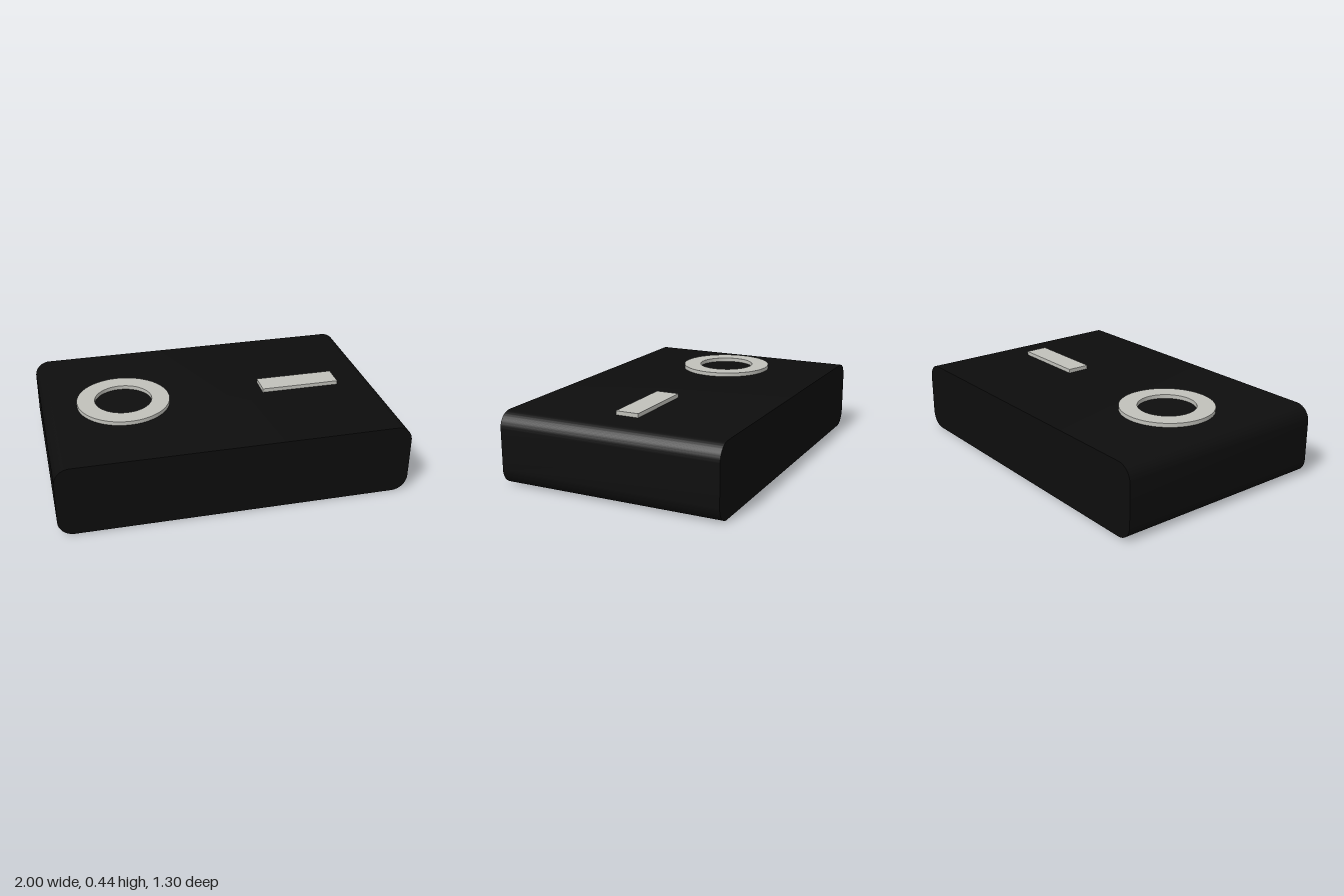
import * as THREE from 'three';
import { toCreasedNormals } from 'three/addons/utils/BufferGeometryUtils.js';

const W = 2, H = 0.414, D = 1.296, R = 0.09; // case size and corner radius
const TOP = 0.437;                          // top of the raised fittings

// Extrude a shape along z, keeping curved walls smooth and rims sharp
function extrude(shape, depth, curveSegments) {
  const geometry = new THREE.ExtrudeGeometry(shape, { depth, curveSegments, bevelEnabled: false });
  return toCreasedNormals(geometry, 0.5);
}

function roundedRect(w, h, r) {
  const s = new THREE.Shape();
  s.moveTo(w / 2, r);
  s.absarc(w / 2 - r, h - r, r, 0, Math.PI / 2);
  s.absarc(-w / 2 + r, h - r, r, Math.PI / 2, Math.PI);
  s.absarc(-w / 2 + r, r, r, Math.PI, Math.PI * 1.5);
  s.absarc(w / 2 - r, r, r, Math.PI * 1.5, Math.PI * 2);
  return s;
}

export function createModel() {
  const black = new THREE.MeshStandardMaterial({ name: 'black', color: 0x0d0d0d });
  const paleGrey = new THREE.MeshStandardMaterial({ name: 'pale grey', color: 0xc0c0ba });
  const model = new THREE.Group();
  model.name = 'box';

  function add(name, geometry, material, x = 0, y = 0, z = 0) {
    const mesh = new THREE.Mesh(geometry, material);
    mesh.name = name;
    mesh.position.set(x, y, z);
    model.add(mesh);
    return mesh;
  }

  // Case: rounded profile running front to back
  add('case', extrude(roundedRect(W, H, R), D, 10), black, 0, 0, -D / 2);

  // Flat ring on the lid
  const ringShape = new THREE.Shape().absarc(0, 0, 0.27, 0, Math.PI * 2);
  ringShape.holes.push(new THREE.Path().absarc(0, 0, 0.166, 0, Math.PI * 2, true));
  const ring = add('ring', extrude(ringShape, TOP - H + 0.004, 48), paleGrey, -0.532, H - 0.004, 0);
  ring.rotation.x = -Math.PI / 2;

  // Flat bar on the lid
  const barHeight = TOP - H + 0.004;
  add('bar', new THREE.BoxGeometry(0.466, barHeight, 0.136), paleGrey, 0.528, TOP - barHeight / 2, 0);

  return model;
}
